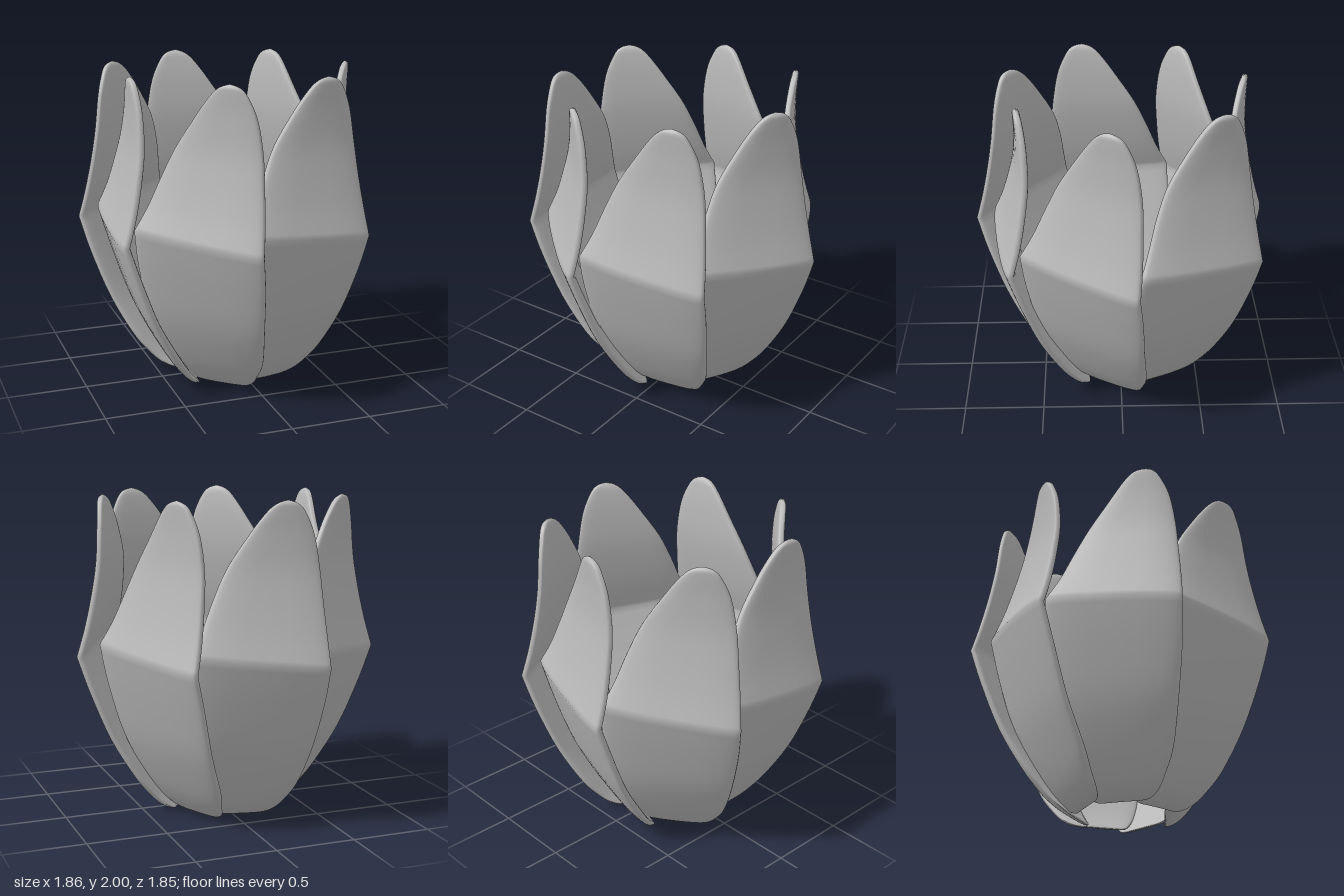
import * as THREE from 'three';

const PETALS = 7, SPACING = 50.6, RING = 40, STEPS = 4, BEND = 1.03;

// Petal sections: [height, outer-side edge, tucked-side edge, distance from axis, half thickness]
const LOWER = [
  [0, 0.18, -0.05, 0.262, 0], [0.01, 0.24, -0.095, 0.275, 0.02], [0.05, 0.3, -0.135, 0.315, 0.03],
  [0.12, 0.35, -0.175, 0.37, 0.034], [0.25, 0.417, -0.22, 0.45, 0.036], [0.5, 0.48, -0.27, 0.585, 0.036],
  [0.8, 0.53, -0.285, 0.698, 0.036], [BEND, 0.55, -0.27, 0.773, 0.036],
];
const UPPER = [
  [BEND, 0.55, -0.27, 0.773, 0.036], [1.2, 0.535, -0.2, 0.726, 0.035], [1.4, 0.515, -0.13, 0.686, 0.033],
  [1.6, 0.495, -0.045, 0.66, 0.03], [1.8, 0.46, 0.08, 0.66, 0.027], [1.93, 0.405, 0.18, 0.672, 0.024],
  [1.98, 0.36, 0.24, 0.68, 0.018], [2, 0.3, 0.3, 0.682, 0],
];

// Smoothly interpolate between the sections of one half
function refine(rows) {
  const out = [];
  for (let i = 0; i < rows.length - 1; i++) {
    const a = rows[Math.max(i - 1, 0)], b = rows[i], c = rows[i + 1], d = rows[Math.min(i + 2, rows.length - 1)];
    for (let k = 0; k < STEPS; k++) {
      const t = k / STEPS;
      out.push(b.map((_, n) => 0.5 * (2 * b[n] + (c[n] - a[n]) * t
        + (2 * a[n] - 5 * b[n] + 4 * c[n] - d[n]) * t * t
        + (3 * b[n] - a[n] - 3 * c[n] + d[n]) * t * t * t)));
    }
  }
  out.push(rows[rows.length - 1]);
  return out;
}

const soft = (v) => Math.sign(v) * Math.abs(v) ** 0.55;

// Loft a thick, slightly cupped petal with a slanted bend at its widest point
function petalGeometry() {
  const rows = [...refine(LOWER), ...refine(UPPER).slice(1)];
  const positions = [], index = [];
  rows.forEach(([y, x0, x1, d, h], i) => {
    const mid = (x0 + x1) / 2, half = Math.max((x0 - x1) / 2, 0);
    const slant = 0.1 * Math.max(0, 1 - Math.abs(y - BEND) / 0.75);
    for (let j = 0; j < RING; j++) {
      const phi = (j / RING) * Math.PI * 2;
      const s = soft(Math.cos(phi)), x = mid + half * s;
      const cup = 0.035 * half * (1 - s * s);
      positions.push(x, Math.max(0, y + slant * (0.55 - x)), d + cup + h * soft(Math.sin(phi)));
      if (i < rows.length - 1) {
        const a = i * RING + j, b = i * RING + (j + 1) % RING;
        index.push(a, a + RING, b, b, a + RING, b + RING);
      }
    }
  });
  const geometry = new THREE.BufferGeometry();
  geometry.setAttribute('position', new THREE.Float32BufferAttribute(positions, 3));
  geometry.setIndex(index);
  geometry.computeVertexNormals();
  return geometry;
}

export function createModel() {
  const model = new THREE.Group();
  model.name = 'petalCup';
  const grey = new THREE.MeshStandardMaterial({ color: 0xbababa });
  grey.name = 'petalGrey';

  // Overlapping pinwheel of petals around an open base, with one slightly wider gap
  const geometry = petalGeometry();
  for (let i = 0; i < PETALS; i++) {
    const petal = new THREE.Mesh(geometry, grey);
    petal.name = `petal${i + 1}`;
    petal.position.set(-0.033, 0, -0.027);
    petal.rotation.y = THREE.MathUtils.degToRad(58.6 - SPACING * i);
    model.add(petal);
  }
  return model;
}
